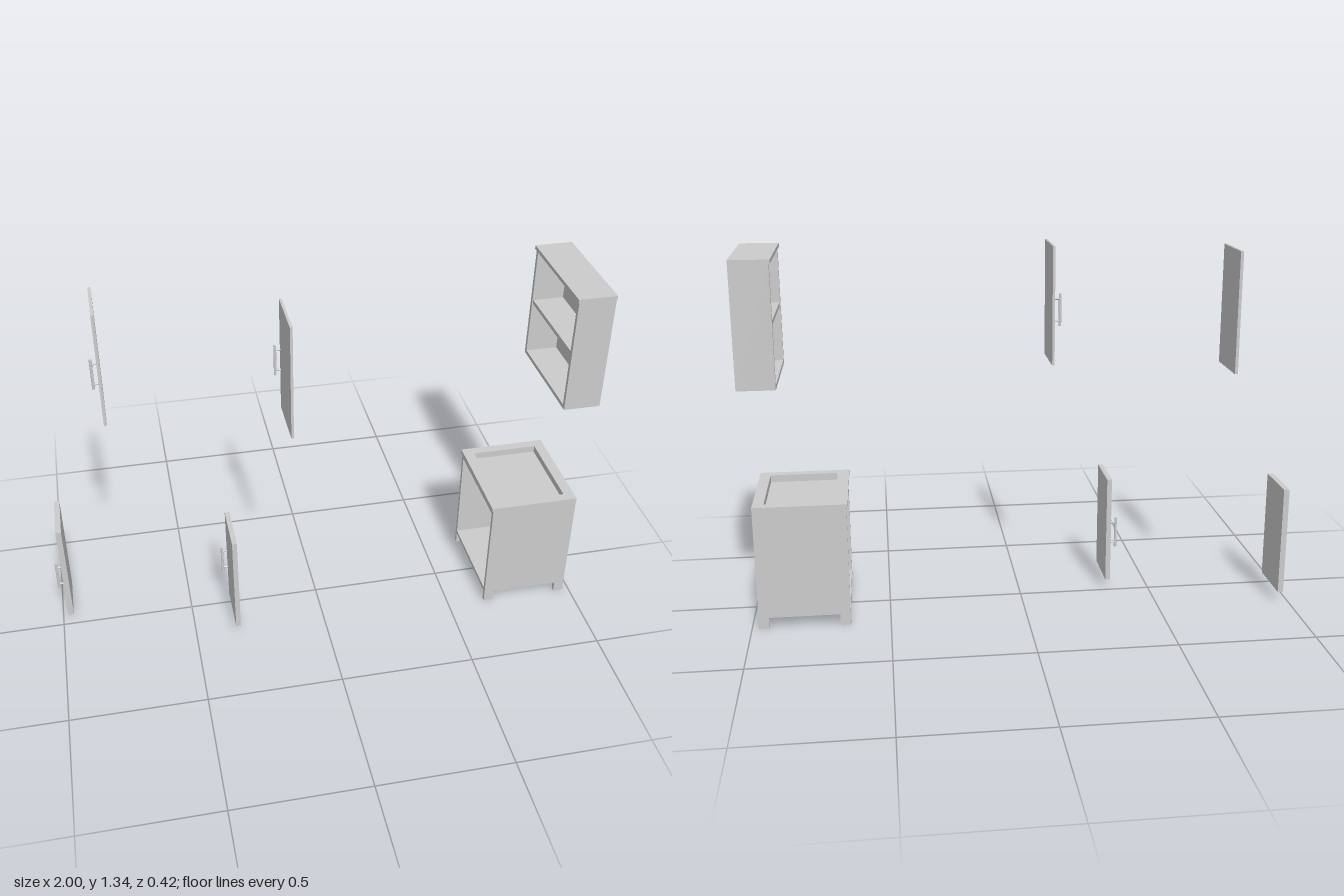
import * as THREE from 'three';

const mat = new THREE.MeshStandardMaterial({ color: 0xcccccc });

// Box given by its min and max along each axis
function box(parent, name, [x0, x1], [y0, y1], [z0, z1]) {
  const m = new THREE.Mesh(new THREE.BoxGeometry(x1 - x0, y1 - y0, z1 - z0), mat);
  m.position.set((x0 + x1) / 2, (y0 + y1) / 2, (z0 + z1) / 2);
  m.name = name;
  parent.add(m);
}

function rod(parent, name, r, length, x, y, z, alongX) {
  const m = new THREE.Mesh(new THREE.CylinderGeometry(r, r, length, 16), mat);
  if (alongX) m.rotation.z = Math.PI / 2;
  m.position.set(x, y, z);
  m.name = name;
  parent.add(m);
}

// Carcass open towards -x: two sides, back and bottom
function carcass(parent, [x0, x1], [y0, y1], [z0, z1], t) {
  box(parent, 'sidePanelFront', [x0, x1], [y0, y1], [z1 - t, z1]);
  box(parent, 'sidePanelRear', [x0, x1], [y0, y1], [z0, z0 + t]);
  box(parent, 'backPanel', [x1 - t, x1], [y0, y1], [z0 + t, z1 - t]);
  box(parent, 'bottomPanel', [x0, x1 - t], [y0, y0 + t], [z0 + t, z1 - t]);
}

function baseCabinet() {
  const g = new THREE.Group();
  g.name = 'baseCabinet';
  const t = 0.015;
  carcass(g, [0.645, 0.975], [0.042, 0.453], [-0.195, 0.195], t);

  // Rim of the worktop with a rectangular well
  const rim = new THREE.Shape();
  rim.moveTo(0.64, -0.198).lineTo(0.975, -0.198).lineTo(0.975, 0.198).lineTo(0.64, 0.198).closePath();
  const well = new THREE.Path();
  well.moveTo(0.683, -0.162).lineTo(0.683, 0.162).lineTo(0.935, 0.162).lineTo(0.935, -0.162).closePath();
  rim.holes.push(well);
  const geo = new THREE.ExtrudeGeometry(rim, { depth: 0.012, bevelEnabled: false });
  geo.rotateX(-Math.PI / 2);
  const top = new THREE.Mesh(geo, mat);
  top.position.y = 0.453;
  top.name = 'worktopRim';
  g.add(top);

  // Well walls and floor
  const y = [0.438, 0.453];
  box(g, 'wellFloor', [0.645, 0.96], [0.43, 0.438], [-0.18, 0.18]);
  box(g, 'wellWallOpenSide', [0.645, 0.683], y, [-0.18, 0.18]);
  box(g, 'wellWallBack', [0.935, 0.96], y, [-0.18, 0.18]);
  for (const s of [-1, 1]) {
    const z = s < 0 ? [-0.18, -0.162] : [0.162, 0.18];
    box(g, 'wellWallSide', [0.683, 0.935], y, z);
  }

  // Feet at the four corners
  for (const x of [[0.645, 0.683], [0.937, 0.975]])
    for (const z of [[-0.195, -0.18], [0.18, 0.195]]) box(g, 'foot', x, [0, 0.042], z);
  return g;
}

function wallCabinet() {
  const g = new THREE.Group();
  g.name = 'wallCabinet';
  carcass(g, [0.865, 1], [0.89, 1.323], [-0.206, 0.208], 0.015);
  box(g, 'topPanel', [0.86, 1], [1.323, 1.337], [-0.211, 0.212]);
  box(g, 'shelf', [0.868, 0.985], [1.107, 1.122], [-0.191, 0.193]);
  return g;
}

// Door panel with a bar handle on its -x face
function door(name, x, y, z, barX, barY, handleZ) {
  const g = new THREE.Group();
  g.name = name;
  box(g, 'doorPanel', x, y, z);
  const handle = new THREE.Group();
  handle.name = 'handle';
  rod(handle, 'handleBar', 0.005, 0.118, barX, barY, handleZ, false);
  for (const s of [-1, 1])
    rod(handle, 'handlePost', 0.004, x[0] - barX, (x[0] + barX) / 2, barY + s * 0.04, handleZ, true);
  g.add(handle);
  return g;
}

export function createModel() {
  const g = new THREE.Group();
  g.name = 'cabinetSet';
  const low = [0.043, 0.451], high = [0.9, 1.337];
  g.add(
    baseCabinet(),
    wallCabinet(),
    door('lowerDoorRear', [-0.978, -0.957], low, [-0.198, -0.005], -0.995, 0.234, -0.02),
    door('lowerDoorFront', [-0.349, -0.331], low, [-0.003, 0.188], -0.369, 0.234, 0.01),
    door('upperDoorRear', [-0.754, -0.743], high, [-0.209, -0.005], -0.773, 1.105, -0.02),
    door('upperDoorFront', [-0.126, -0.117], high, [0, 0.203], -0.146, 1.105, 0.013)
  );
  return g;
}
